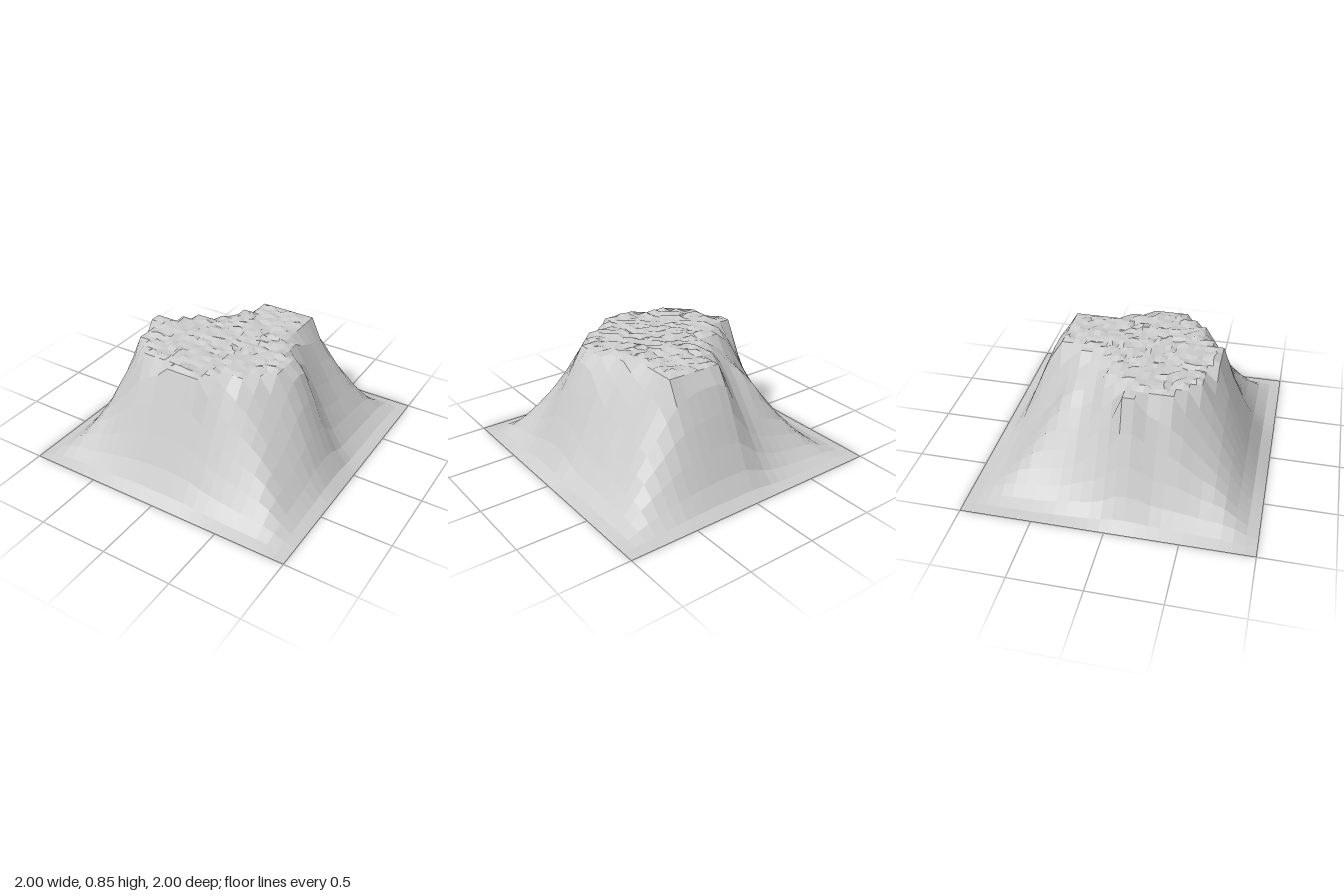
import * as THREE from 'three';

const N = 25, STEP = 2 / N, TOP = 0.82;

// plateau outline (x, z), star-shaped around the origin
const RIM = [
  [-0.06, -0.57], [0.2, -0.57], [0.36, -0.53], [0.37, -0.36], [0.43, -0.2], [0.45, -0.06],
  [0.53, -0.01], [0.59, 0.04], [0.59, 0.21], [0.53, 0.28], [0.45, 0.36], [0.37, 0.44],
  [0.21, 0.53], [0.13, 0.6], [-0.13, 0.6], [-0.36, 0.53], [-0.45, 0.45], [-0.53, 0.36],
  [-0.54, 0.2], [-0.605, 0.13], [-0.605, 0.03], [-0.46, -0.05], [-0.42, -0.13], [-0.29, -0.14],
  [-0.2, -0.21], [-0.13, -0.38],
];

// rounded rises and hollows on the flanks: x, z, width, height
const BUMPS = [
  [-0.39, -0.42, 0.11, 0.09], // shoulder beside the back gully
  [-0.2, -0.52, 0.1, -0.06], // back gully
  [0.58, -0.34, 0.13, -0.05], // left hollow
  [-0.6, 0.6, 0.17, -0.15], // front right corner
  [0.6, 0.53, 0.17, -0.07], // front left corner
];

// distance from the origin to the rim in direction (dx, dz)
function rimRadius(dx, dz) {
  let best = 0;
  RIM.forEach(([ax, az], i) => {
    const [bx, bz] = RIM[(i + 1) % RIM.length];
    const ex = bx - ax, ez = bz - az, det = dx * ez - dz * ex;
    if (Math.abs(det) < 1e-9) return;
    const r = (ax * ez - az * ex) / det, s = (ax * dz - az * dx) / det;
    if (s >= -1e-6 && s <= 1 + 1e-6) best = Math.max(best, r);
  });
  return best;
}

function rawHeight(x, z) {
  const r = Math.hypot(x, z);
  if (r < 0.01) return TOP;
  const rim = rimRadius(x / r, z / r);
  if (r <= rim + 0.005) return TOP;
  const edge = r / Math.max(Math.abs(x), Math.abs(z));
  const t = Math.min(1, (r - rim) / (edge - rim));
  // concave flank, a little lower towards the corners
  let h = TOP * (1 - t) ** (1.25 + 0.4 * t + 0.7 * t ** 3) * (1 - 0.4 * (x * z) ** 2);
  for (const [cx, cz, w, a] of BUMPS) {
    h += a * (1 - t) ** 0.5 * Math.exp(-((x - cx) ** 2 + (z - cz) ** 2) / (w * w));
  }
  return THREE.MathUtils.clamp(h, 0, TOP - 0.01);
}

const coord = (i) => -1 + i * STEP;

// height grid, flank softened twice while plateau and border stay fixed
function heightGrid() {
  let h = [];
  for (let j = 0; j <= N; j++) h.push(Array.from({ length: N + 1 }, (_, i) => rawHeight(coord(i), coord(j))));
  for (let pass = 0; pass < 2; pass++) {
    const old = h;
    h = old.map((row, j) => row.map((y, i) => {
      if (y === TOP || i % N === 0 || j % N === 0) return y;
      return 0.6 * y + 0.1 * (old[j - 1][i] + old[j + 1][i] + row[i - 1] + row[i + 1]);
    }));
  }
  return h;
}

function seeded(seed) {
  return () => {
    seed = (seed * 16807) % 2147483647;
    return seed / 2147483647;
  };
}

// one flat-shaded facet per quad; corners run counter-clockwise from above
function quadGeometry(quads) {
  const pos = [], nor = [];
  for (const [a, b, c, d] of quads) {
    const n = c.clone().sub(a).cross(d.clone().sub(b)).normalize();
    for (const p of [a, b, c, a, c, d]) {
      pos.push(p.x, p.y, p.z);
      nor.push(n.x, n.y, n.z);
    }
  }
  const g = new THREE.BufferGeometry();
  g.setAttribute('position', new THREE.Float32BufferAttribute(pos, 3));
  g.setAttribute('normal', new THREE.Float32BufferAttribute(nor, 3));
  return g;
}

const corners = (point, i, j) => [point(i, j), point(i, j + 1), point(i + 1, j + 1), point(i + 1, j)];

export function createModel() {
  const group = new THREE.Group();
  group.name = 'plateauHill';
  const material = new THREE.MeshStandardMaterial({ color: 0xcccccc, side: THREE.DoubleSide });
  const h = heightGrid();
  const isTop = (i, j) => [[0, 0], [1, 0], [0, 1], [1, 1]].every(([a, b]) => h[j + b]?.[i + a] === TOP);

  // sloping flanks: every grid cell outside the plateau
  const flank = [];
  const ground = (i, j) => new THREE.Vector3(coord(i), h[j][i], coord(j));
  for (let j = 0; j < N; j++)
    for (let i = 0; i < N; i++) if (!isTop(i, j)) flank.push(corners(ground, i, j));
  const slopes = new THREE.Mesh(quadGeometry(flank), material);
  slopes.name = 'slopes';

  // rubble top: twice as fine, jittered inside, pinned along its edge
  const rand = seeded(77), M = N * 2, rubble = [], fine = [];
  const topCell = (i, j) => isTop(Math.floor(i / 2), Math.floor(j / 2));
  for (let j = 0; j <= M; j++) {
    fine.push([]);
    for (let i = 0; i <= M; i++) {
      const inner = topCell(i, j) && topCell(i - 1, j) && topCell(i, j - 1) && topCell(i - 1, j - 1);
      const k = inner ? 1 : 0;
      fine[j].push(new THREE.Vector3(
        -1 + i * STEP / 2 + k * (rand() - 0.5) * 0.02,
        TOP + k * rand() * 0.026,
        -1 + j * STEP / 2 + k * (rand() - 0.5) * 0.02,
      ));
    }
  }
  const rock = (i, j) => fine[j][i];
  for (let j = 0; j < M; j++)
    for (let i = 0; i < M; i++) if (topCell(i, j)) rubble.push(corners(rock, i, j));
  const top = new THREE.Mesh(quadGeometry(rubble), material);
  top.name = 'rubbleTop';

  group.add(slopes, top);
  return group;
}
